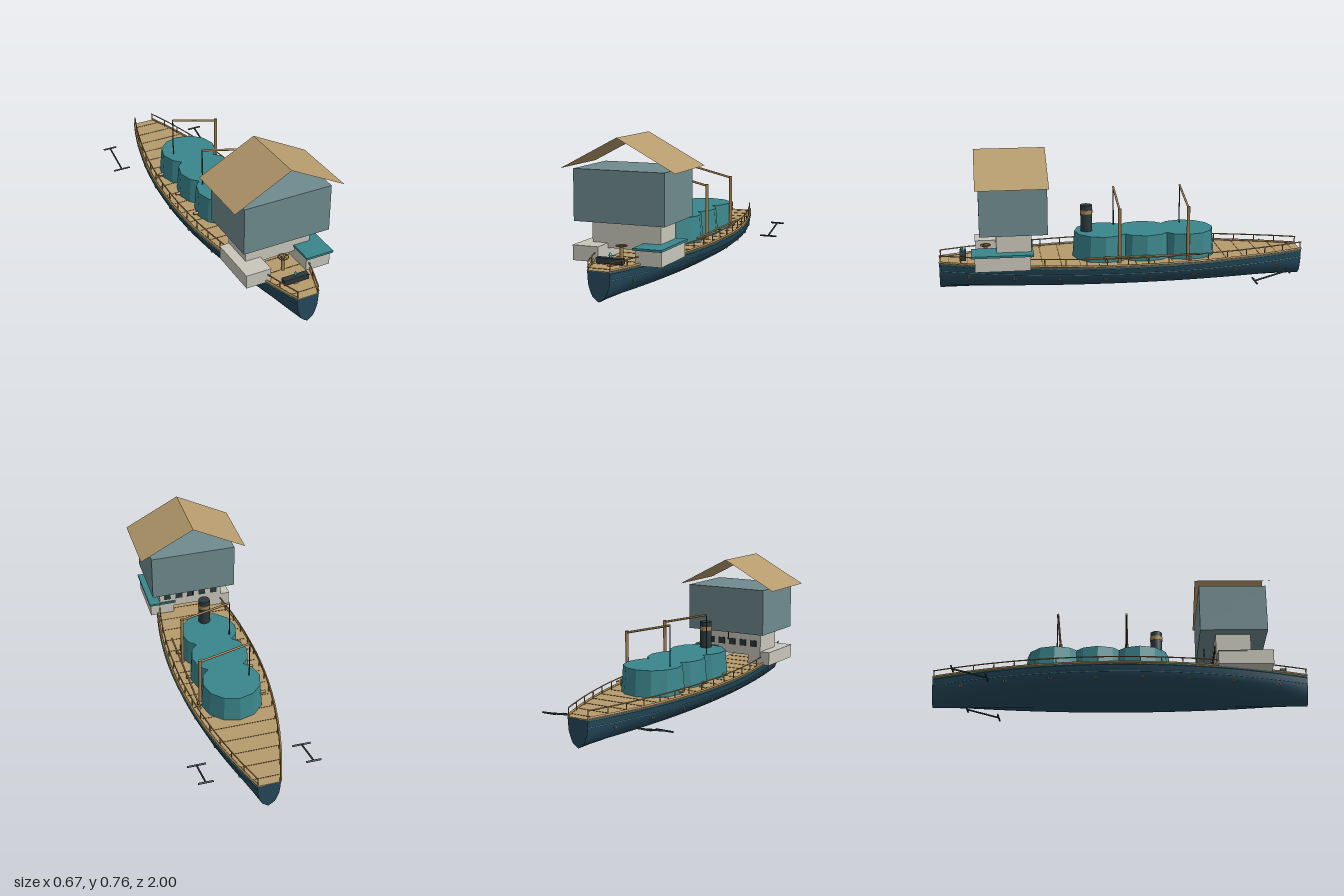
import * as THREE from 'three';

const mat = (name, color, side = THREE.FrontSide) => {
  const m = new THREE.MeshStandardMaterial({ color, side });
  m.name = name;
  return m;
};

// Half width of the deck at a station along the ship
const halfWidth = (z) => 0.25 - 0.19 * z * z;

export function createModel() {
  const navy = mat('hull navy', 0x25495c, THREE.DoubleSide);
  const tan = mat('deck tan', 0xb59a6c, THREE.DoubleSide);
  const wood = mat('rail wood', 0xa5834f);
  const seam = mat('seam brown', 0x6e5838);
  const teal = mat('teal', 0x3a868c);
  const slate = mat('house slate', 0x6f8a8e);
  const cream = mat('cabin cream', 0xc8c6ba);
  const dark = mat('dark iron', 0x2b383b);
  const cyan = mat('crystal cyan', 0x35c0cc);

  const ship = new THREE.Group();
  ship.name = 'ship';

  const add = (name, geo, material, x = 0, y = 0, z = 0) => {
    const m = new THREE.Mesh(geo, material);
    m.name = name;
    m.position.set(x, y, z);
    ship.add(m);
    return m;
  };
  // Box given by its min and max on each axis
  const box = (name, material, x0, x1, y0, y1, z0, z1) =>
    add(name, new THREE.BoxGeometry(x1 - x0, y1 - y0, z1 - z0), material,
      (x0 + x1) / 2, (y0 + y1) / 2, (z0 + z1) / 2);
  // Round bar between two points
  const bar = (name, material, a, b, r, sides = 8) => {
    const p = new THREE.Vector3(...a), q = new THREE.Vector3(...b);
    const d = q.clone().sub(p);
    const m = add(name, new THREE.CylinderGeometry(r, r, d.length(), sides), material);
    m.position.copy(p).add(q).multiplyScalar(0.5);
    m.quaternion.setFromUnitVectors(new THREE.Vector3(0, 1, 0), d.normalize());
    return m;
  };
  // Tube following the hull side
  const sideTube = (name, material, side, factor, y, r) => {
    const pts = [];
    for (let i = 0; i <= 20; i++) {
      const z = -1 + i / 10;
      pts.push(new THREE.Vector3(side * factor * halfWidth(z), y, z));
    }
    add(name, new THREE.TubeGeometry(new THREE.CatmullRomCurve3(pts), 40, r, 6), material);
  };

  // Hull: one cross-section scaled in width along the length
  const half = [[1, 0.148], [0.965, 0.11], [0.91, 0.08], [0.75, 0.051], [0.56, 0.025], [0.28, 0.011]];
  const section = [...half, [0, 0], ...half.slice().reverse().map(([x, y]) => [-x, y])];
  const n = section.length, stations = 32, pos = [], idx = [];
  for (let i = 0; i <= stations; i++) {
    const z = -1 + (2 * i) / stations;
    for (const [x, y] of section) pos.push(x * halfWidth(z), y, z);
  }
  for (let i = 0; i < stations; i++) {
    for (let j = 0; j < n - 1; j++) {
      const a = i * n + j, b = a + 1, c = a + n, d = c + 1;
      idx.push(a, c, b, b, c, d);
    }
  }
  const hull = new THREE.BufferGeometry();
  hull.setAttribute('position', new THREE.Float32BufferAttribute(pos, 3));
  hull.setIndex(idx);
  hull.computeVertexNormals();
  add('hull', hull, navy);
  const endShape = new THREE.Shape(section.map(([x, y]) => new THREE.Vector2(x * halfWidth(1), y)));
  add('bowEnd', new THREE.ShapeGeometry(endShape), navy, 0, 0, 1);
  add('sternEnd', new THREE.ShapeGeometry(endShape), navy, 0, 0, -1).rotation.y = Math.PI;

  // Deck with plank seams
  const outline = [];
  for (let i = 0; i <= stations; i++) {
    const z = -1 + (2 * i) / stations;
    outline.push(new THREE.Vector2(halfWidth(z), z));
  }
  const shape = new THREE.Shape([...outline, ...outline.map((p) => new THREE.Vector2(-p.x, p.y)).reverse()]);
  const deck = new THREE.ExtrudeGeometry(shape, { depth: 0.006, bevelEnabled: false });
  add('deck', deck.rotateX(Math.PI / 2), tan, 0, 0.151, 0);
  for (let z = -0.95; z < 1; z += 0.1) {
    const w = 0.92 * halfWidth(z);
    box('plankSeam', seam, -w, w, 0.15, 0.1525, z - 0.002, z + 0.002);
  }

  // Hull trim, gunwale, railings, portholes and anchors on both sides
  for (const s of [1, -1]) {
    sideTube('tealTrim', teal, s, 1.005, 0.144, 0.004);
    sideTube('hullLine', teal, s, 0.962, 0.108, 0.002);
    sideTube('gunwale', wood, s, 0.985, 0.157, 0.006);
    sideTube('handrail', wood, s, 0.93, 0.193, 0.0035);
    for (let i = 0; i <= 18; i++) {
      const z = -0.995 + (i * 1.99) / 18, x = s * 0.93 * halfWidth(z);
      bar('railPost', wood, [x, 0.15, z], [x, 0.193, z], 0.003, 6);
    }
    for (let i = 0; i < 8; i++) {
      const z = 0.84 - i * 0.24, x = s * 0.915 * halfWidth(z);
      const ring = add('porthole', new THREE.TorusGeometry(0.008, 0.003, 6, 12), wood, x, 0.085, z);
      ring.rotation.y = Math.PI / 2;
    }
    const ax = s * 0.285;
    bar('anchorShank', dark, [ax, 0.104, -0.86], [ax, 0.054, -0.68], 0.005);
    bar('anchorStock', dark, [ax - 0.04, 0.104, -0.86], [ax + 0.04, 0.104, -0.86], 0.005);
    bar('anchorArm', dark, [ax - 0.05, 0.054, -0.68], [ax + 0.05, 0.054, -0.68], 0.005);
  }

  // Three joined tanks with cross pipes
  const tankMat = teal.clone();
  tankMat.flatShading = true;
  for (const z of [-0.345, -0.115, 0.11]) {
    add('tank', new THREE.CylinderGeometry(0.156, 0.167, 0.14, 12), tankMat, 0, 0.22, z);
    bar('crossPipe', wood, [-0.19, 0.168, z], [0.19, 0.168, z], 0.008);
  }
  bar('sidePipe', wood, [0.187, 0.187, 0.22], [0.187, 0.187, -0.41], 0.005);

  // Funnel
  add('funnel', new THREE.CylinderGeometry(0.032, 0.032, 0.147, 16), dark, 0, 0.3615, 0.2);
  add('funnelBand', new THREE.CylinderGeometry(0.034, 0.034, 0.022, 16), wood, 0, 0.398, 0.2);

  // Cranes
  for (const z of [0.038, -0.335]) {
    bar('mast', wood, [0.17, 0.15, z], [0.17, 0.45, z], 0.009);
    bar('boom', wood, [0.175, 0.44, z], [-0.1, 0.505, z], 0.006);
    bar('cable', dark, [-0.1, 0.29, z], [-0.1, 0.5, z], 0.003, 6);
  }

  // Side cabins
  box('rightCabin', cream, 0.1, 0.238, 0.148, 0.226, 0.517, 0.81);
  box('rightCabinRoof', teal, 0.093, 0.247, 0.225, 0.236, 0.5, 0.828);
  box('leftCabin', cream, -0.238, -0.1, 0.148, 0.222, 0.517, 0.805);
  box('leftCabinRoof', cream, -0.24, -0.1, 0.22, 0.225, 0.515, 0.807);

  // Bridge with windows on its rear side
  box('bridge', cream, -0.185, 0.185, 0.2, 0.34, 0.51, 0.695);
  for (let i = -2; i <= 2; i++) {
    const x = i * 0.07;
    box('bridgeWindow', dark, x - 0.02, x + 0.02, 0.252, 0.288, 0.504, 0.511);
  }

  // Upper house and its open gabled roof
  box('upperHouse', slate, -0.243, 0.243, 0.34, 0.6, 0.426, 0.783);
  bar('hangingCord', dark, [0, 0.29, 0.46], [0, 0.34, 0.46], 0.003, 6);
  const slope = Math.atan2(0.16, 0.305), slant = Math.hypot(0.16, 0.305);
  for (const s of [1, -1]) {
    const panel = new THREE.PlaneGeometry(slant, 0.38).rotateX(-Math.PI / 2);
    add('roofPanel', panel, tan, s * 0.1525, 0.68, 0.61).rotation.z = -s * slope;
  }

  // Foredeck console with a crystal
  box('consoleFoot', wood, -0.012, 0.012, 0.15, 0.167, 0.862, 0.884);
  box('console', dark, -0.07, 0.07, 0.163, 0.191, 0.857, 0.89);
  add('crystal', new THREE.OctahedronGeometry(0.018), cyan, 0, 0.203, 0.873).scale.set(0.6, 1, 0.6);

  // Steering wheel lying flat on a post
  bar('wheelPost', wood, [0, 0.15, 0.75], [0, 0.228, 0.75], 0.01);
  const wheel = add('wheel', new THREE.TorusGeometry(0.027, 0.003, 6, 20), wood, 0, 0.228, 0.75);
  wheel.rotation.x = Math.PI / 2;
  for (let i = 0; i < 3; i++) {
    const c = 0.027 * Math.cos((i * Math.PI) / 3), d = 0.027 * Math.sin((i * Math.PI) / 3);
    bar('wheelSpoke', wood, [-c, 0.228, 0.75 - d], [c, 0.228, 0.75 + d], 0.002, 6);
  }

  return ship;
}
